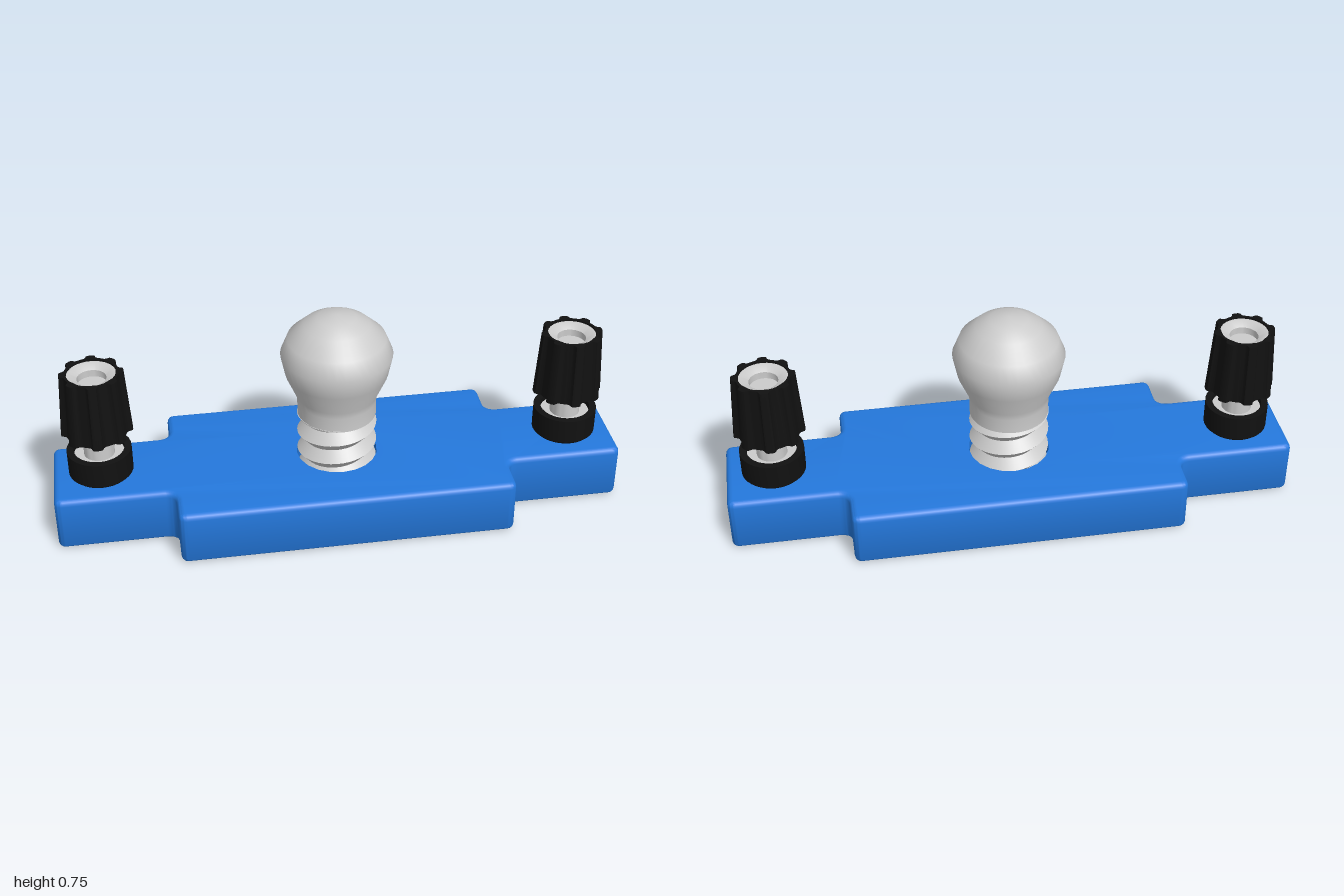
import * as THREE from 'three';
import { toCreasedNormals } from 'three/addons/utils/BufferGeometryUtils.js';
import { ParametricGeometry } from 'three/addons/geometries/ParametricGeometry.js';

const grey = new THREE.MeshStandardMaterial({ color: 0xcccccc });
const blue = new THREE.MeshStandardMaterial({ color: 0x2478dc });
const black = new THREE.MeshStandardMaterial({ color: 0x111111 });

function part(name, geometry, material, crease = 0.6) {
  const mesh = new THREE.Mesh(toCreasedNormals(geometry, crease), material);
  mesh.name = name;
  return mesh;
}

// Profile of [radius, y] pairs, listed from the bottom centre round to the top centre
function lathe(points, sides = 32) {
  return new THREE.LatheGeometry(points.map(([r, y]) => new THREE.Vector2(r, y)), sides);
}

// Polygon of [x, y, cornerRadius] with rounded corners
function roundedShape(corners) {
  const shape = new THREE.Shape();
  const n = corners.length;
  corners.forEach(([x, y, r], i) => {
    const p = new THREE.Vector2(x, y);
    const toward = (q) => new THREE.Vector2(q[0], q[1]).sub(p).setLength(r).add(p);
    const a = toward(corners[(i + n - 1) % n]);
    const b = toward(corners[(i + 1) % n]);
    if (i === 0) shape.moveTo(a.x, a.y);
    else shape.lineTo(a.x, a.y);
    shape.quadraticCurveTo(x, y, b.x, b.y);
  });
  shape.closePath();
  return shape;
}

function circlePath(r) {
  const path = new THREE.Path();
  path.absarc(0, 0, r, 0, Math.PI * 2, true);
  return path;
}

const HOLE = 0.143;

// Wide block with a narrower tab at each end and a screw hole in the middle
function createBase() {
  const bevel = 0.02;
  const quarter = [[1, 0.166, 0.028], [0.585, 0.166, 0.045], [0.585, 0.312, 0.028]];
  const flip = (sx, sy, list) => list.map(([x, y, r]) => [x * sx, y * sy, r]);
  const back = [...quarter].reverse();
  const shape = roundedShape([
    ...quarter, ...flip(-1, 1, back), ...flip(-1, -1, quarter), ...flip(1, -1, back),
  ]);
  shape.holes.push(circlePath(HOLE));
  const geo = new THREE.ExtrudeGeometry(shape, {
    depth: 0.2 - 2 * bevel, bevelSize: bevel, bevelThickness: bevel,
    bevelOffset: -bevel, bevelSegments: 4, curveSegments: 10,
  });
  geo.rotateX(-Math.PI / 2).translate(0, bevel, 0);
  // Keep the hole straight, without a bevel
  const pos = geo.attributes.position;
  for (let i = 0; i < pos.count; i++) {
    const x = pos.getX(i), z = pos.getZ(i), r = Math.hypot(x, z);
    if (r < 0.2) pos.setXYZ(i, x * HOLE / r, pos.getY(i), z * HOLE / r);
  }
  const base = new THREE.Group();
  base.name = 'base';
  base.add(part('baseBlock', geo, blue, 0.7));
  base.add(part('holeFloor', lathe([[0, 0], [HOLE, 0], [HOLE, 0.1], [0, 0.1]], 40), blue));
  return base;
}

// Ball-headed screw with a collar and a right-hand thread
function createBallScrew() {
  const screw = new THREE.Group();
  screw.name = 'ballScrew';
  screw.add(part('ballHead', lathe([
    [0, 0.355], [0.112, 0.355], [0.138, 0.365], [0.138, 0.42], [0.142, 0.445], [0.178, 0.528],
    [0.194, 0.605], [0.17, 0.665], [0.114, 0.717], [0.066, 0.744], [0, 0.755],
  ], 40), grey, 0.75));

  const pitch = 0.075, rows = 8;
  const thread = new ParametricGeometry((u, v, target) => {
    const row = Math.round(v * rows);
    const angle = u * Math.PI * 2;
    const r = row % 2 ? 0.108 : 0.14;
    const y = Math.min(0.085 + row * pitch / 2 + pitch * u, 0.37);
    target.set(r * Math.sin(angle), y, r * Math.cos(angle));
  }, 40, rows);
  screw.add(part('thread', thread, grey));
  return screw;
}

// Eight-ribbed grip, tapered towards the top
function createGrip() {
  const bottom = 0.37, top = 0.607;
  const outline = [];
  for (let i = 0; i < 96; i++) {
    const a = (i / 96) * Math.PI * 2;
    const r = 0.105 + 0.018 * THREE.MathUtils.smoothstep(Math.cos(8 * a), -0.3, 0.7);
    outline.push(new THREE.Vector2(r * Math.cos(a), r * Math.sin(a)));
  }
  const shape = new THREE.Shape(outline);
  shape.holes.push(circlePath(0.084));
  const geo = new THREE.ExtrudeGeometry(shape, {
    depth: top - bottom, bevelEnabled: false, curveSegments: 16,
  });
  geo.rotateX(-Math.PI / 2).translate(0, bottom, 0);
  const pos = geo.attributes.position;
  for (let i = 0; i < pos.count; i++) {
    const x = pos.getX(i), y = pos.getY(i), z = pos.getZ(i);
    if (Math.hypot(x, z) < 0.09) continue;
    const s = 1 - 0.12 * (y - bottom) / (top - bottom);
    pos.setXYZ(i, x * s, y, z * s);
  }
  return geo;
}

// Thumb knob: cup, washer, stem, ribbed grip and the recessed insert in its top
function createKnob() {
  const knob = new THREE.Group();
  knob.add(part('cup', lathe([
    [0, 0.2], [0.102, 0.2], [0.112, 0.21], [0.112, 0.3], [0.088, 0.3], [0.088, 0.26], [0, 0.26],
  ]), black));
  knob.add(part('washer', lathe([[0, 0.255], [0.087, 0.255], [0.087, 0.28], [0, 0.28]]), grey));
  knob.add(part('stem', lathe([[0, 0.22], [0.053, 0.22], [0.053, 0.45], [0, 0.45]]), grey));
  knob.add(part('grip', createGrip(), black));
  knob.add(part('gripUnderside', lathe([
    [0, 0.363], [0.09, 0.363], [0.104, 0.37], [0.104, 0.38], [0, 0.38],
  ]), black));
  knob.add(part('insert', lathe([
    [0, 0.4], [0.084, 0.4], [0.084, 0.6], [0.076, 0.6], [0.05, 0.585], [0.05, 0.56], [0, 0.56],
  ]), grey));
  return knob;
}

export function createModel() {
  const model = new THREE.Group();
  model.name = 'ballMountPlate';
  model.add(createBase(), createBallScrew());
  for (const side of [1, -1]) {
    const knob = createKnob();
    knob.name = side > 0 ? 'leftKnob' : 'rightKnob';
    knob.position.x = 0.833 * side;
    model.add(knob);
  }
  return model;
}
